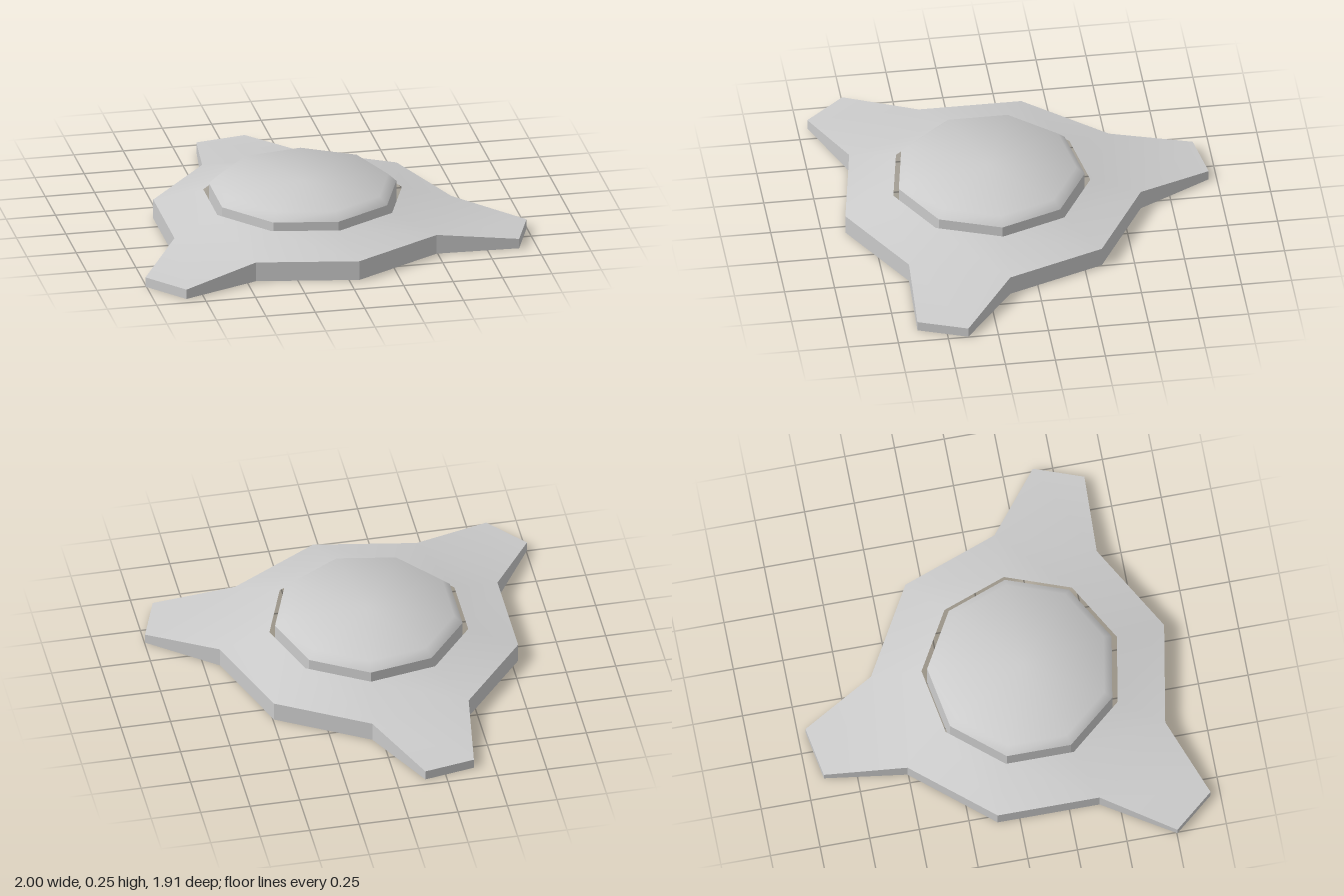
import * as THREE from 'three';
import { toCreasedNormals } from 'three/addons/utils/BufferGeometryUtils.js';

const SIDES = 9, CX = -0.08, CZ = 0.145;
const smooth = new THREE.MeshStandardMaterial({ color: 0xcccccc, side: THREE.DoubleSide });
const flat = new THREE.MeshStandardMaterial({ color: 0xcccccc, side: THREE.DoubleSide, flatShading: true });

// point at an angle in degrees, counter-clockwise seen from above
function polar(deg, r, y) {
  const a = THREE.MathUtils.degToRad(deg);
  return [r * Math.cos(a), y, -r * Math.sin(a)];
}

// each quad is four corners, counter-clockwise from its outside
function quadMesh(name, quads, material) {
  const geo = new THREE.BufferGeometry();
  const pos = quads.flatMap(([a, b, c, d]) => [...a, ...b, ...c, ...a, ...c, ...d]);
  geo.setAttribute('position', new THREE.Float32BufferAttribute(pos, 3));
  geo.computeVertexNormals();
  const mesh = new THREE.Mesh(material === smooth ? toCreasedNormals(geo, Math.PI / 4) : geo, material);
  mesh.name = name;
  return mesh;
}

export function createModel() {
  const group = new THREE.Group();
  group.name = 'threeArmedDisc';
  const body = new THREE.Group();
  body.name = 'body';

  const top = [], rim = [], outline = [];
  for (let i = 0; i < SIDES; i++) {
    const a0 = i * 40, a1 = a0 + 40, mid = a0 + 20;
    const h0 = polar(a0, 0.75, 0.1), h1 = polar(a1, 0.75, 0.1);
    // sloping hub panel
    top.push([polar(a0, 0.5, 0.17), h0, h1, polar(a1, 0.5, 0.17)]);
    outline.push(h0);
    // every third side carries a tapering arm
    if (i % 3 === 2) {
      const t0 = polar(mid - 6.7, 1.107, 0.05), t1 = polar(mid + 6.7, 1.107, 0.05);
      top.push([h0, t0, t1, h1]);
      outline.push(t0, t1);
    }
  }
  // vertical rim round the whole outline, open underneath
  outline.forEach((p, i) => {
    const q = outline[(i + 1) % outline.length];
    rim.push([[p[0], 0, p[2]], [q[0], 0, q[2]], q, p]);
  });
  body.add(quadMesh('bodyTop', top, smooth), quadMesh('bodyRim', rim, flat));

  // central cap: straight wall inside the hub opening, softly shaded bevelled lid
  const cap = new THREE.Group();
  cap.name = 'cap';
  const R = 0.472, wall = [], lid = [];
  for (let i = 0; i < SIDES; i++) {
    const a0 = i * 40, a1 = a0 + 40;
    wall.push([polar(a0, R, 0), polar(a1, R, 0), polar(a1, R, 0.205), polar(a0, R, 0.205)]);
    lid.push([polar(a0, R, 0.205), polar(a1, R, 0.205), polar(a1, 0.43, 0.245), polar(a0, 0.43, 0.245)]);
  }
  const lidPos = lid.flatMap(([a, b, c, d]) => [a, b, c, a, c, d, d, c, [0, 0.245, 0]]).flat();
  const lidGeo = new THREE.BufferGeometry();
  lidGeo.setAttribute('position', new THREE.Float32BufferAttribute(lidPos, 3));
  const lidMesh = new THREE.Mesh(toCreasedNormals(lidGeo, Math.PI / 3), smooth);
  lidMesh.name = 'capLid';
  cap.add(quadMesh('capWall', wall, flat), lidMesh);

  group.add(body, cap);
  for (const part of group.children) part.position.set(CX, 0, CZ);
  return group;
}
